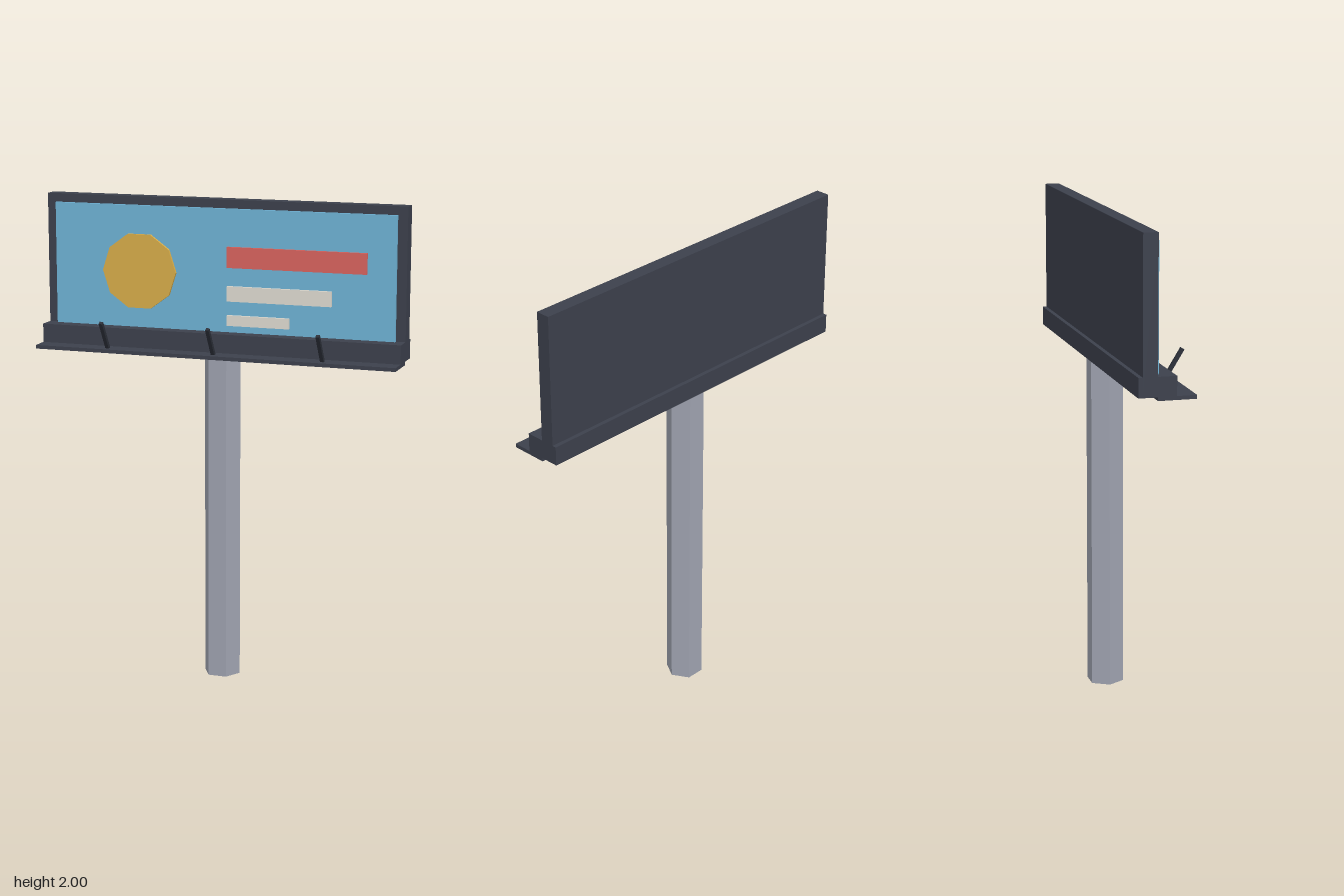
import * as THREE from 'three';

export function createModel() {
  const model = new THREE.Group();
  const mat = (color) => new THREE.MeshStandardMaterial({ color, flatShading: true });
  const dark = mat(0x3c404c), lampDark = mat(0x2b2f38), steel = mat(0x9fa3b0);
  const blue = mat(0x6fb3d6), yellow = mat(0xd9ae4a), red = mat(0xd9645f), cream = mat(0xe0dcd2);

  const add = (name, geometry, material, x = 0, y = 0, z = 0) => {
    const mesh = new THREE.Mesh(geometry, material);
    mesh.name = name;
    mesh.position.set(x, y, z);
    model.add(mesh);
    return mesh;
  };
  // Box given by its extents along each axis
  const box = (name, material, [x0, x1], [y0, y1], [z0, z1]) =>
    add(name, new THREE.BoxGeometry(x1 - x0, y1 - y0, z1 - z0), material,
      (x0 + x1) / 2, (y0 + y1) / 2, (z0 + z1) / 2);

  // Hexagonal pole with a flat side to the front
  const pole = add('pole', new THREE.CylinderGeometry(0.077, 0.077, 1.386, 6), steel, 0, 0.693, -0.06);
  pole.rotation.y = Math.PI / 6;

  // Board, its supporting beam and the walkway in front
  const width = [-0.768, 0.768];
  box('backBoard', dark, width, [1.39, 2], [-0.119, -0.06]);
  box('beam', dark, width, [1.384, 1.462], [-0.136, 0.014]);
  box('walkway', dark, width, [1.37, 1.385], [-0.06, 0.092]);

  // Poster with raised artwork
  box('poster', blue, [-0.728, 0.728], [1.42, 1.965], [-0.063, -0.046]);
  const art = [-0.05, -0.034];
  const disc = add('posterDisc', new THREE.CylinderGeometry(0.16, 0.16, 0.016, 10), yellow, -0.355, 1.695, -0.042);
  disc.geometry.rotateY(Math.PI / 10).rotateX(Math.PI / 2);
  box('posterBarLarge', red, [0.026, 0.611], [1.727, 1.812], art);
  box('posterBarMedium', cream, [0.026, 0.466], [1.59, 1.652], art);
  box('posterBarSmall', cream, [0.026, 0.289], [1.49, 1.533], art);

  // Lamp arms leaning out from the walkway
  for (const x of [-0.46, 0, 0.46]) {
    const arm = add('lampArm', new THREE.BoxGeometry(0.015, 0.137, 0.015), lampDark, x, 1.442, 0.092);
    arm.rotation.x = 0.55;
  }
  return model;
}
